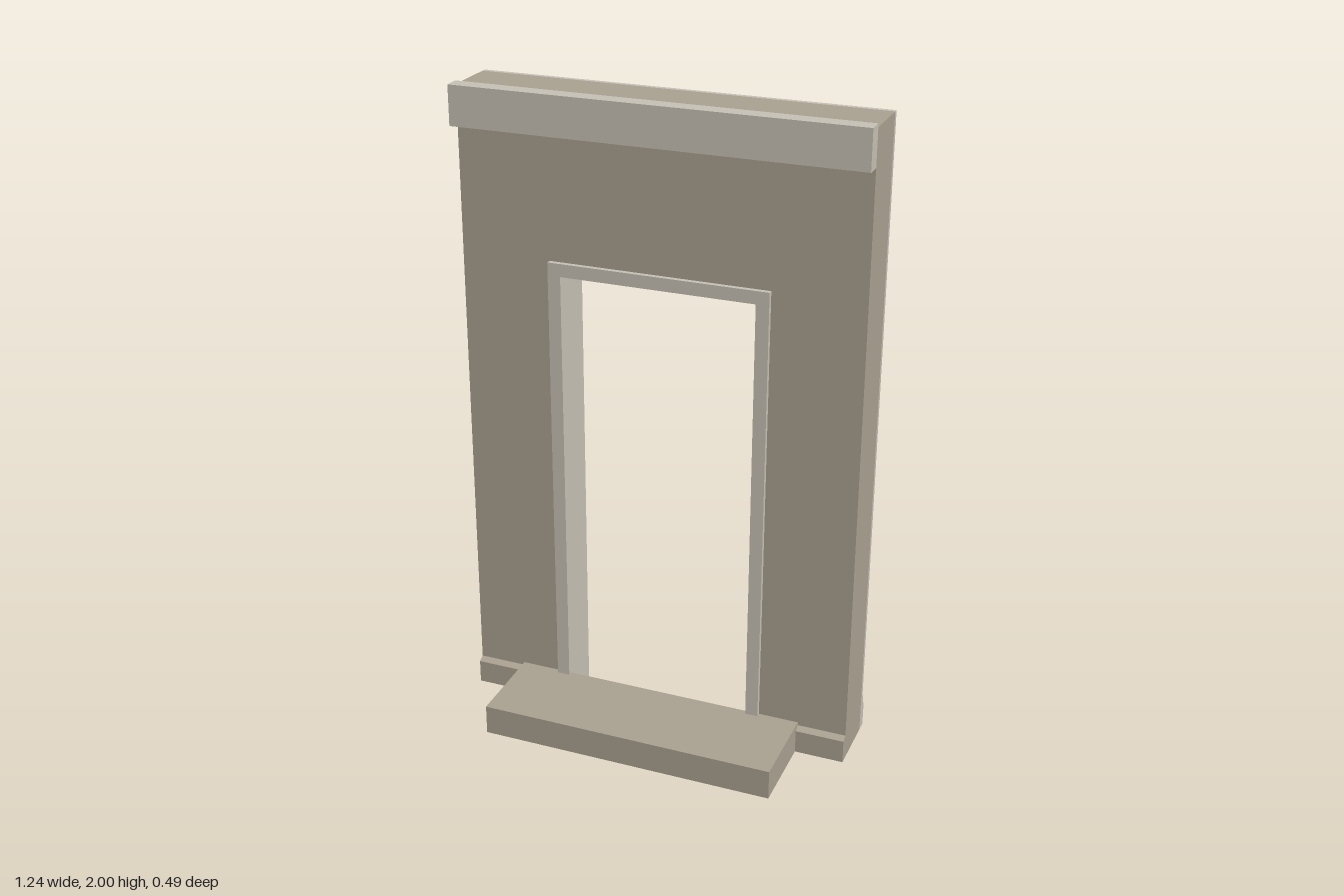
import * as THREE from 'three';

const stone = new THREE.MeshStandardMaterial({ color: 0xaba292 });
stone.name = 'tan stone';
const trim = new THREE.MeshStandardMaterial({ color: 0xc8c3b7 });
trim.name = 'pale trim';
const plaster = new THREE.MeshStandardMaterial({ color: 0xc8c1b7 });
plaster.name = 'pale plaster';

const HALF = 0.62;      // half width of the wall
const OPEN = 0.34;      // half width of the rough opening
const OPEN_TOP = 1.495;

export function createModel() {
  const model = new THREE.Group();
  model.name = 'doorwayWall';

  const add = (name, geometry, material) => {
    const mesh = new THREE.Mesh(geometry, material);
    mesh.name = name;
    model.add(mesh);
    return mesh;
  };

  // Box given by its lower and upper corners
  const box = (name, material, x0, x1, y0, y1, z0, z1) => {
    const g = new THREE.BoxGeometry(x1 - x0, y1 - y0, z1 - z0);
    g.translate((x0 + x1) / 2, (y0 + y1) / 2, (z0 + z1) / 2);
    return add(name, g, material);
  };

  // Upside-down U outline, open at the floor, extruded from z0 to z1
  const portal = (name, material, outer, top, inner, innerTop, z0, z1) => {
    const s = new THREE.Shape([
      [-outer, 0], [-inner, 0], [-inner, innerTop], [inner, innerTop],
      [inner, 0], [outer, 0], [outer, top], [-outer, top],
    ].map(([x, y]) => new THREE.Vector2(x, y)));
    const g = new THREE.ExtrudeGeometry(s, { depth: z1 - z0, bevelEnabled: false });
    g.translate(0, 0, z0);
    return add(name, g, material);
  };

  // Moulding: a (z, y) profile run along x from x0 to x1
  const moulding = (name, material, profile, x0, x1) => {
    const s = new THREE.Shape(profile.map(([z, y]) => new THREE.Vector2(-z, y)));
    const g = new THREE.ExtrudeGeometry(s, { depth: x1 - x0, bevelEnabled: false });
    g.rotateY(Math.PI / 2);
    g.translate(x0, 0, 0);
    return add(name, g, material);
  };

  // Wall with a plaster skin on the back
  portal('wall', stone, HALF, 1.99, OPEN, OPEN_TOP, -0.205, -0.035);
  portal('plasterBack', plaster, HALF, 1.99, OPEN, OPEN_TOP, -0.22, -0.205);

  // Door frame lining the opening
  portal('doorFrame', trim, OPEN, OPEN_TOP, 0.3, 1.455, -0.175, -0.02);

  // Cornice and front step
  box('cornice', trim, -HALF, HALF, 1.88, 2, -0.035, 0.015);
  box('step', stone, -0.467, 0.467, 0, 0.095, -0.035, 0.245);

  const plinth = [[-0.035, 0], [-0.015, 0], [-0.015, 0.075], [-0.035, 0.085]];
  const skirting = [
    [-0.22, 0], [-0.24, 0], [-0.24, 0.075], [-0.232, 0.088],
    [-0.23, 0.105], [-0.225, 0.115], [-0.22, 0.115],
  ];

  for (const side of [-1, 1]) {
    const span = (a, b) => (side > 0 ? [a, b] : [-b, -a]);
    const label = side > 0 ? 'Left' : 'Right';
    moulding('frontPlinth' + label, stone, plinth, ...span(OPEN, HALF));
    moulding('skirting' + label, trim, skirting, ...span(0.405, HALF));

    // Back casing: flat board, raised outer band, block at the foot
    box('casing' + label, trim, ...span(0.335, 0.385), 0.12, 1.5, -0.229, -0.22);
    box('casingBand' + label, trim, ...span(0.38, 0.398), 0.12, 1.5, -0.235, -0.22);
    box('casingBlock' + label, trim, ...span(0.333, 0.407), 0, 0.122, -0.241, -0.22);
  }

  // Head of the back casing: lower bead, frieze and rounded cap
  box('headBead', trim, -0.403, 0.403, 1.49, 1.505, -0.237, -0.22);
  box('headFrieze', trim, -0.397, 0.397, 1.505, 1.575, -0.231, -0.22);
  moulding('headCap', trim, [
    [-0.22, 1.565], [-0.232, 1.568], [-0.238, 1.575], [-0.245, 1.576],
    [-0.248, 1.582], [-0.245, 1.589], [-0.22, 1.591],
  ], -0.41, 0.41);

  // Centre the depth exactly on z = 0
  const bounds = new THREE.Box3().setFromObject(model);
  model.position.z = -(bounds.min.z + bounds.max.z) / 2;
  return model;
}
